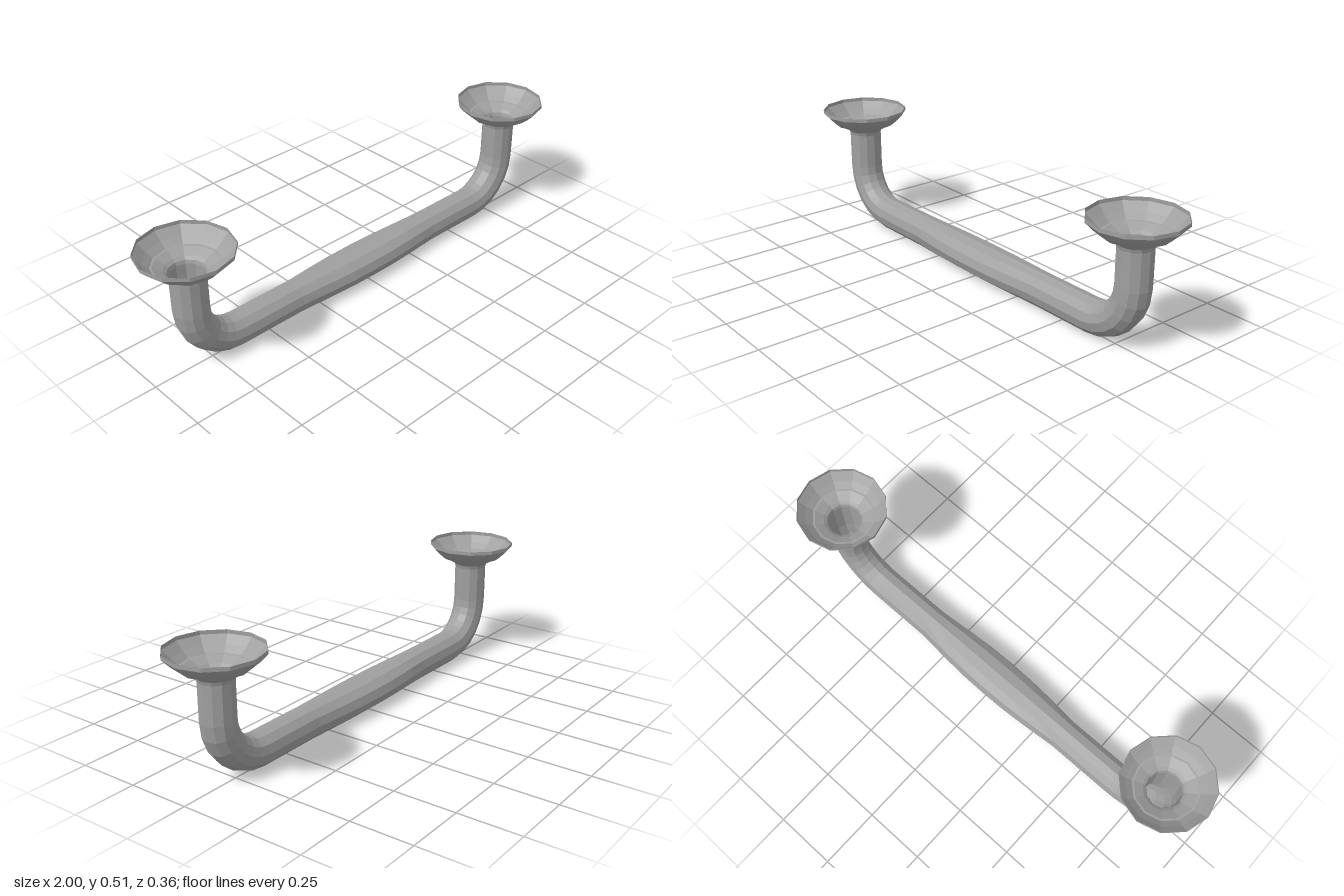
import * as THREE from 'three';

const SIDES = 12;
const R = 0.067;          // bar radius
const POST_X = 0.82;      // centre of each upright
const BEND = 0.185;       // bend radius on the centreline
const BEND_Y = R + BEND;  // height where the bend meets the upright
const POST_TOP = 0.4;

// Skin a row of stations { x, y, a, w }: a is the bend angle, w the half width in z
function loft(stations) {
  const pos = [];
  const index = [];
  stations.forEach(({ x, y, a, w }) => {
    for (let j = 0; j < SIDES; j++) {
      const t = (j / SIDES) * Math.PI * 2;
      const d = R * Math.cos(t);
      pos.push(x + Math.sin(a) * d, y - Math.cos(a) * d, w * Math.sin(t));
    }
  });
  for (let i = 0; i < stations.length - 1; i++) {
    for (let j = 0; j < SIDES; j++) {
      const p = i * SIDES + j;
      const q = i * SIDES + ((j + 1) % SIDES);
      index.push(p, p + SIDES, q, q, p + SIDES, q + SIDES);
    }
  }
  const geo = new THREE.BufferGeometry();
  geo.setAttribute('position', new THREE.Float32BufferAttribute(pos, 3));
  geo.setIndex(index);
  geo.computeVertexNormals();
  return geo;
}

export function createModel() {
  const group = new THREE.Group();
  const metal = new THREE.MeshStandardMaterial({ color: 0xa0a0a0, flatShading: true, side: THREE.DoubleSide });
  metal.name = 'grey metal';

  const add = (name, geo, x = 0) => {
    const mesh = new THREE.Mesh(geo, metal);
    mesh.name = name;
    mesh.position.x = x;
    group.add(mesh);
  };

  // Straight grip, widened front to back around the middle
  const half = [[0, 0.088], [0.11, 0.086], [0.22, 0.079], [0.36, R], [POST_X - BEND, R]];
  const grip = [...half.slice(1).reverse().map(([x, w]) => [-x, w]), ...half];
  add('grip', loft(grip.map(([x, w]) => ({ x, y: R, a: 0, w }))));

  // Hollow upright with a quarter bend at its foot
  const bendAt = (a, s) => ({
    x: s * (POST_X - BEND) + BEND * Math.sin(a),
    y: BEND_Y - BEND * Math.cos(a),
    a,
    w: R,
  });
  // Open flared cup on top of each upright
  const cup = [
    [R, POST_TOP], [0.071, 0.414], [0.083, 0.424], [0.118, 0.443], [0.126, 0.444],
    [0.152, 0.466], [0.18, 0.495], [0.18, 0.51],
  ].map(([r, y]) => new THREE.Vector2(r, y));

  for (const s of [-1, 1]) {
    const side = s > 0 ? 'left' : 'right';
    const stations = [];
    for (let i = 0; i <= 6; i++) stations.push(bendAt((s * i * Math.PI) / 12, s));
    stations.push({ x: s * POST_X, y: POST_TOP, a: (s * Math.PI) / 2, w: R });
    if (s < 0) stations.reverse();
    add(side + 'Post', loft(stations));
    add(side + 'Cup', new THREE.LatheGeometry(cup, SIDES), s * POST_X);
  }
  return group;
}
